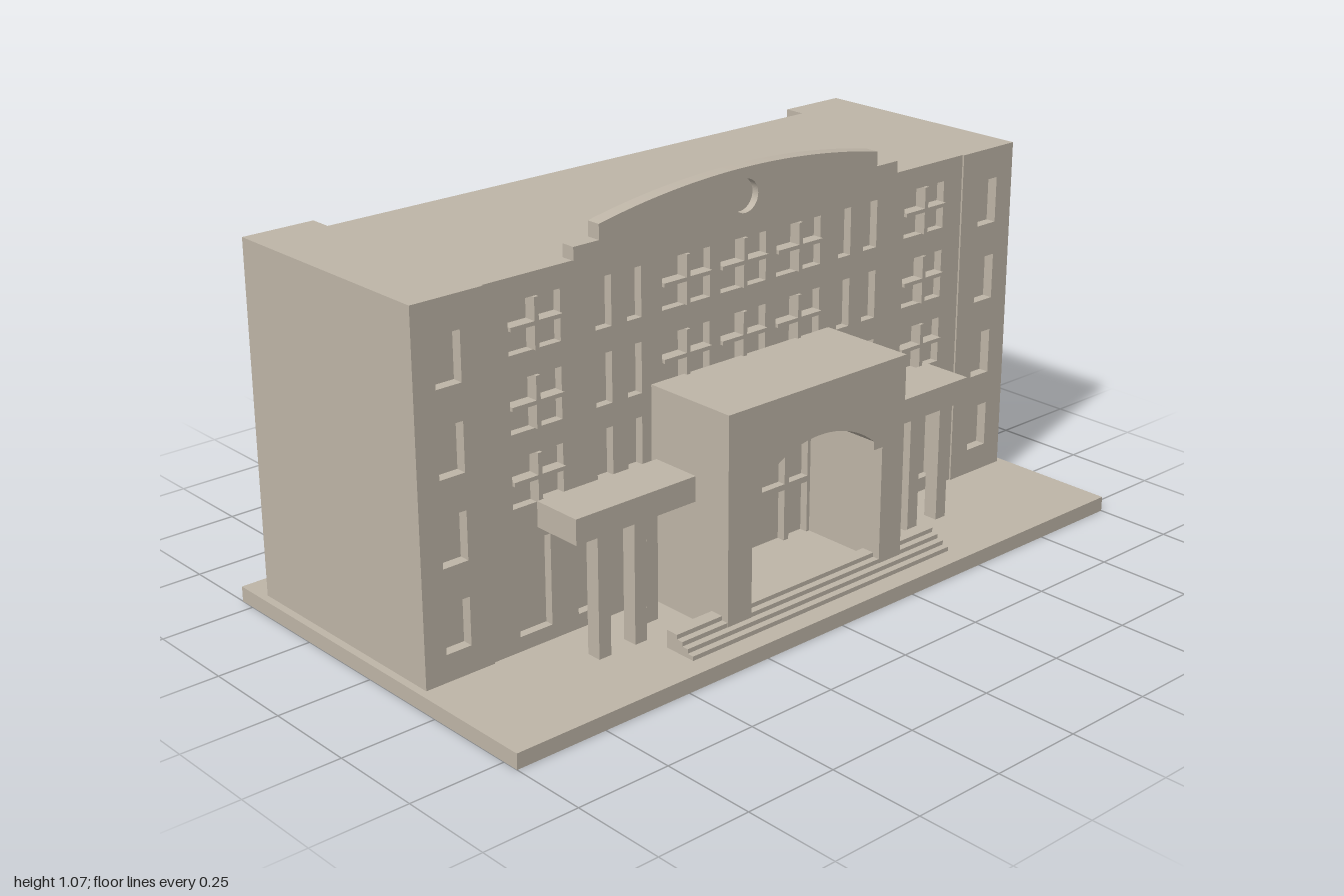
import * as THREE from 'three';

const stone = new THREE.MeshStandardMaterial({ color: 0xbeb5a7 });
stone.name = 'stone';

export function createModel() {
  const model = new THREE.Group();
  model.name = 'civicBuilding';

  const add = (name, geometry) => {
    const mesh = new THREE.Mesh(geometry, stone);
    mesh.name = name;
    model.add(mesh);
    return mesh;
  };
  // box given by its limits on each axis
  const box = (name, x0, x1, y0, y1, z0, z1) =>
    add(name, new THREE.BoxGeometry(x1 - x0, y1 - y0, z1 - z0))
      .position.set((x0 + x1) / 2, (y0 + y1) / 2, (z0 + z1) / 2);
  // the same box on both sides of the centre
  const pair = (name, x0, x1, ...rest) => {
    box(name + 'Left', x0, x1, ...rest);
    box(name + 'Right', -x1, -x0, ...rest);
  };
  const rect = (T, x0, x1, y0, y1) => new T([
    new THREE.Vector2(x0, y0), new THREE.Vector2(x1, y0),
    new THREE.Vector2(x1, y1), new THREE.Vector2(x0, y1)]);
  const slab = (name, shape, z0, z1) =>
    add(name, new THREE.ExtrudeGeometry(shape, { depth: z1 - z0, bevelEnabled: false, curveSegments: 32 }))
      .position.z = z0;

  const GROUND = 0.04, ROOF = 0.957, WALL = 0.188, FRONT = 0.193, BACK = 0.165;

  // plinth and solid core, with shallow wings at the rear corners
  box('plinth', -1, 1, 0, GROUND, -0.545, 0.545);
  box('core', -0.98, 0.98, GROUND, ROOF, -0.4, BACK);
  pair('rearWing', 0.785, 0.98, GROUND, ROOF, -0.46, -0.4);

  // central facade with recessed windows
  const facade = rect(THREE.Shape, -0.785, 0.785, GROUND, ROOF);
  const rows = [[0.404, 0.527], [0.586, 0.714], [0.775, 0.9]];
  const slots = [[0.326, 0.37], [0.417, 0.465]];
  const wide = [[-0.716, -0.567], [-0.262, -0.11], [-0.075, 0.075], [0.11, 0.262], [0.567, 0.716]];
  for (const [y0, y1] of rows) {
    for (const [x0, x1] of slots) {
      facade.holes.push(rect(THREE.Path, x0, x1, y0, y1), rect(THREE.Path, -x1, -x0, y0, y1));
    }
    for (const [x0, x1] of wide) {
      facade.holes.push(rect(THREE.Path, x0, x1, y0, y1));
      const xm = (x0 + x1) / 2, ym = y0 + 0.064;
      box('windowMullion', xm - 0.006, xm + 0.006, y0, y1, BACK, 0.197);
      box('windowTransom', x0, x1, ym - 0.005, ym + 0.005, BACK, 0.197);
    }
  }
  for (const [x0, x1] of [[0.435, 0.53], [0.61, 0.705]]) {
    facade.holes.push(rect(THREE.Path, x0, x1, 0.078, 0.313), rect(THREE.Path, -x1, -x0, 0.078, 0.313));
  }
  slab('facade', facade, BACK, WALL);

  // end bays, standing slightly forward
  for (const s of [-1, 1]) {
    const a = s > 0 ? 0.785 : -0.98;
    const bay = rect(THREE.Shape, a, a + 0.195, GROUND, ROOF);
    for (const y of [0.11, 0.323, 0.537, 0.75]) {
      bay.holes.push(rect(THREE.Path, s * 0.885 - 0.035, s * 0.885 + 0.035, y, y + 0.123));
    }
    slab(s > 0 ? 'endBayLeft' : 'endBayRight', bay, BACK, FRONT);
  }

  // arc through (-w, y), (0, y + rise), (w, y), drawn from right to left
  const arch = (shape, w, y, rise) => {
    const r = (w * w + rise * rise) / (2 * rise), cy = y + rise - r;
    const a = Math.atan2(y - cy, w);
    shape.absarc(0, cy, r, a, Math.PI - a, false);
  };

  // stepped, curved parapet with a round recess
  const parapet = new THREE.Shape();
  parapet.moveTo(-0.53, ROOF);
  parapet.lineTo(0.53, ROOF);
  parapet.lineTo(0.53, 0.99);
  parapet.lineTo(0.455, 0.99);
  parapet.lineTo(0.455, 1.028);
  arch(parapet, 0.455, 1.028, 0.046);
  parapet.lineTo(-0.455, 0.99);
  parapet.lineTo(-0.53, 0.99);
  slab('parapetBack', parapet, 0.155, 0.173);
  const parapetFront = parapet.clone();
  parapetFront.holes = [new THREE.Path().absarc(0, 1.003, 0.042, 0, Math.PI * 2, true)];
  slab('parapetFront', parapetFront, 0.173, FRONT);

  // entrance portico with a shouldered arch
  const portico = new THREE.Shape();
  portico.moveTo(0.22, GROUND);
  portico.lineTo(0.297, GROUND);
  portico.lineTo(0.297, 0.6);
  portico.lineTo(-0.297, 0.6);
  portico.lineTo(-0.297, GROUND);
  portico.lineTo(-0.22, GROUND);
  portico.lineTo(-0.22, 0.377);
  portico.lineTo(-0.19, 0.377);
  portico.lineTo(-0.19, 0.4);
  const crown = new THREE.Path();
  arch(crown, 0.19, 0.4, 0.07);
  crown.getPoints(32).reverse().forEach(p => portico.lineTo(p.x, p.y));
  portico.lineTo(0.19, 0.377);
  portico.lineTo(0.22, 0.377);
  slab('portico', portico, WALL, 0.455);

  // entrance glazing bars
  for (const x of [-0.137, 0, 0.137]) {
    box('entranceMullion', x - 0.008, x + 0.008, 0.07, x ? 0.44 : 0.47, WALL, 0.21);
  }
  pair('entranceJamb', 0.21, 0.22, 0.07, 0.377, WALL, 0.21);
  for (const y of [0.218, 0.371]) box('entranceTransom', -0.22, 0.22, y - 0.008, y + 0.008, WALL, 0.21);

  // entrance floor and steps
  box('entranceFloor', -0.22, 0.22, GROUND, 0.07, WALL, 0.4);
  for (let i = 0; i < 4; i++) {
    box('step', -0.44, 0.44, GROUND + i * 0.0115, GROUND + (i + 1) * 0.0115, 0.4, 0.491 - i * 0.0185);
  }

  // side canopies on square pillars
  pair('canopy', 0.297, 0.66, 0.35, 0.415, 0.205, 0.343);
  for (const [x, z] of [[0.578, 0.321], [0.468, 0.321], [0.376, 0.257]]) {
    pair('pillar', x - 0.018, x + 0.018, GROUND, 0.35, z - 0.02, z + 0.02);
  }
  return model;
}
